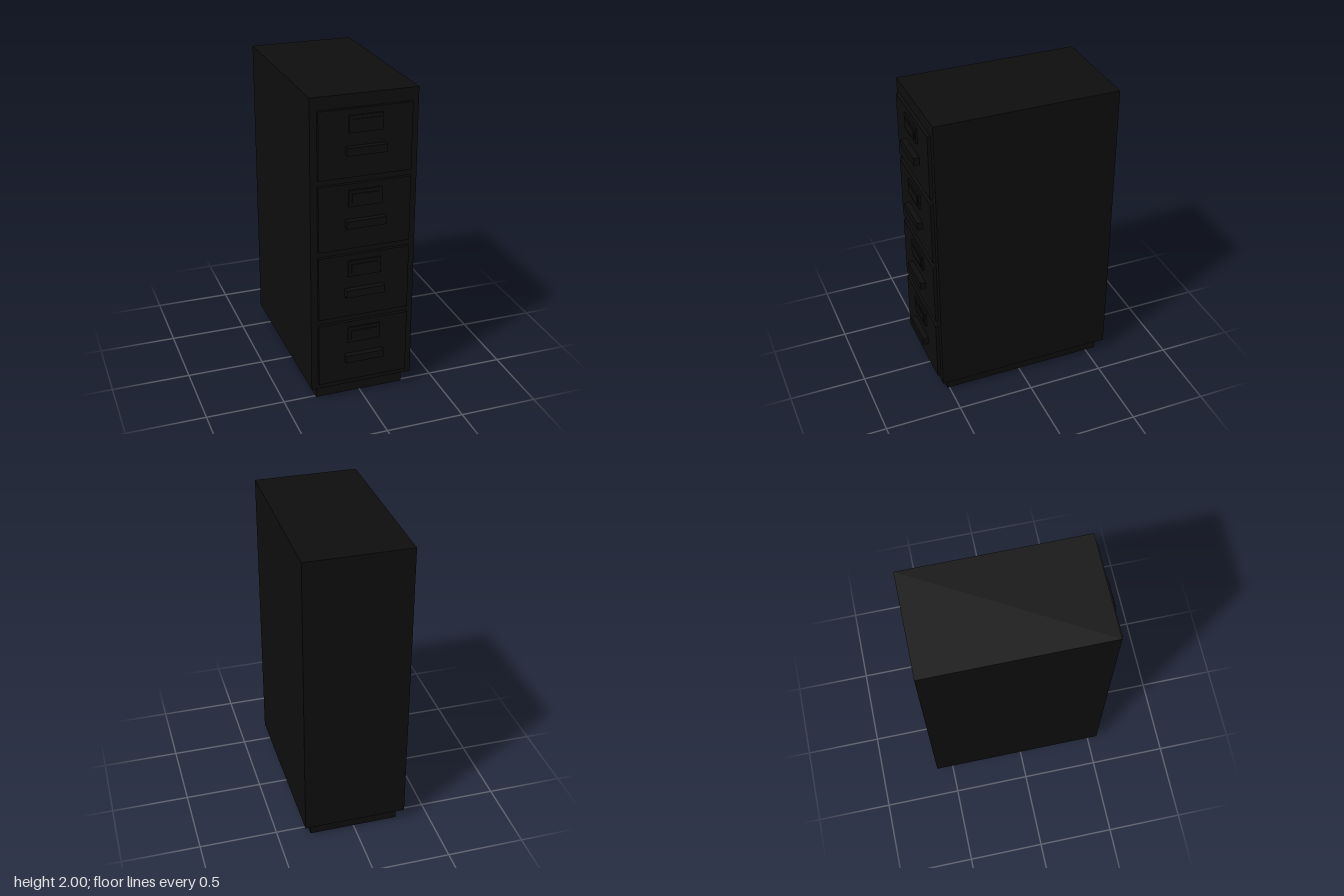
import * as THREE from 'three';

const black = new THREE.MeshStandardMaterial({ color: 0x0d0d0d });
black.name = 'black enamel';

// Box given by its limits on each axis
function box(name, [x0, x1], [y0, y1], [z0, z1]) {
  const mesh = new THREE.Mesh(new THREE.BoxGeometry(x1 - x0, y1 - y0, z1 - z0), black);
  mesh.position.set((x0 + x1) / 2, (y0 + y1) / 2, (z0 + z1) / 2);
  mesh.name = name;
  return mesh;
}

// Drawer front with its label holder and pull handle, measured from its bottom edge
function makeDrawer() {
  const drawer = new THREE.Group();
  drawer.add(
    box('drawerFront', [-0.29, 0.29], [0, 0.418], [0.545, 0.576]),
    box('labelHolder', [-0.105, 0.105], [0.276, 0.38], [0.57, 0.588]),
    box('labelCard', [-0.085, 0.085], [0.298, 0.358], [0.58, 0.594]),
    box('handle', [-0.124, 0.124], [0.145, 0.194], [0.57, 0.612])
  );
  return drawer;
}

export function createModel() {
  const cabinet = new THREE.Group();
  cabinet.name = 'filingCabinet';

  // Carcass on a recessed plinth
  cabinet.add(
    box('plinth', [-0.29, 0.29], [0, 0.09], [-0.57, 0.515]),
    box('body', [-0.333, 0.333], [0.088, 2], [-0.612, 0.555])
  );

  // Four stacked drawers
  for (let i = 0; i < 4; i++) {
    const drawer = makeDrawer();
    drawer.name = `drawer${i + 1}`;
    drawer.position.y = 0.127 + i * 0.4583;
    cabinet.add(drawer);
  }
  return cabinet;
}
